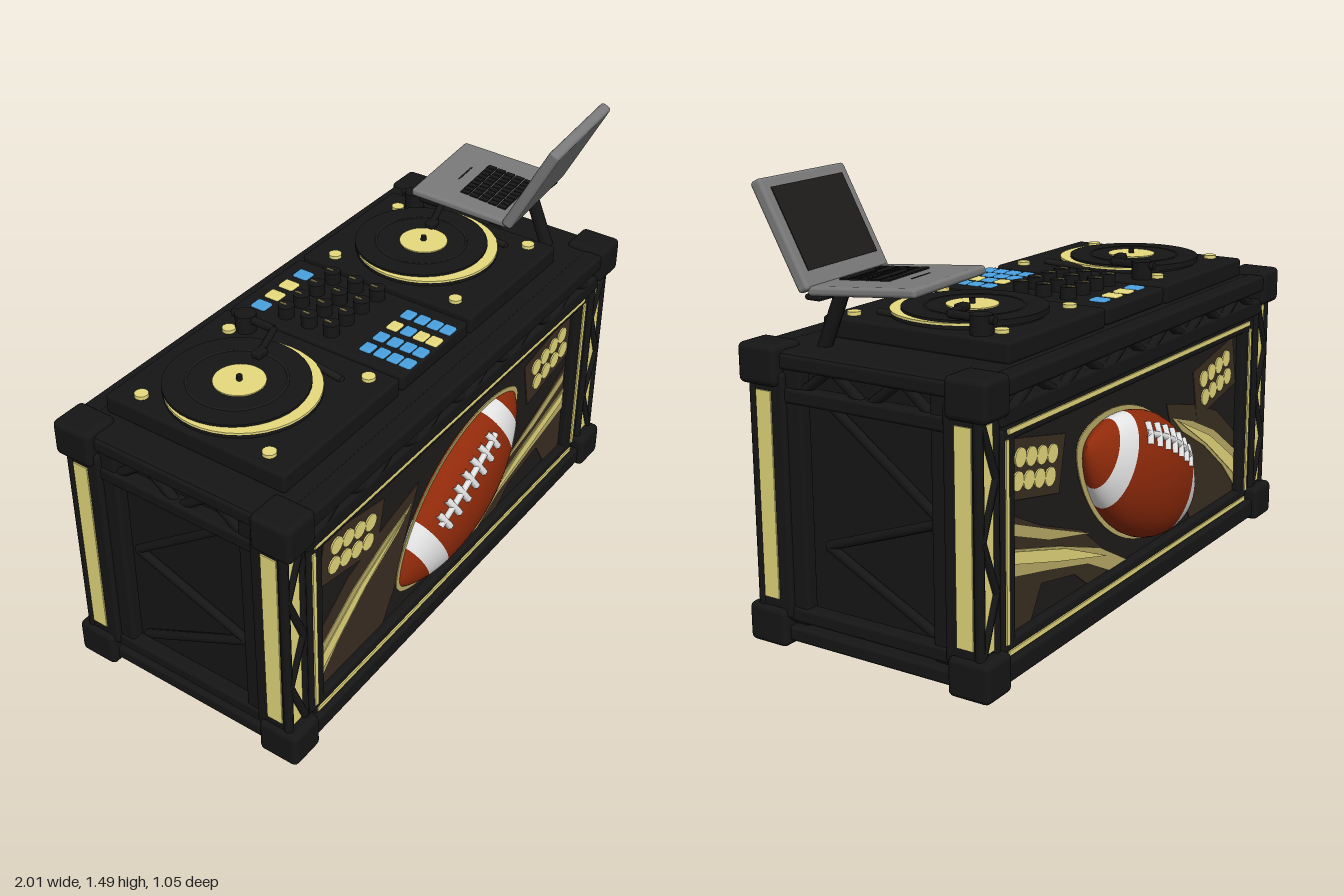
import * as THREE from 'three';
import { RoundedBoxGeometry } from 'three/addons/geometries/RoundedBoxGeometry.js';

const mat = (name, color) => Object.assign(new THREE.MeshStandardMaterial({ color }), { name });
const V = (x, y, z) => new THREE.Vector3(x, y, z);

export function createModel() {
  const black = mat('black', 0x161616);
  const yellow = mat('pale yellow', 0xebdf80);
  const brown = mat('dark brown', 0x3a2e22);
  const khaki = mat('khaki', 0xbcae68);
  const leather = mat('leather', 0x902a0a);
  const white = mat('white', 0xe6e6e6);
  const grey = mat('grey', 0x7a7a7a);
  const blue = mat('blue', 0x4aa0de);
  const dark = mat('charcoal', 0x1e1c1b);

  const root = new THREE.Group();
  const ZC = 0.018; // mid depth of the booth
  const add = (name, geo, m, x = 0, y = 0, z = 0, parent = root) => {
    const mesh = new THREE.Mesh(geo, m);
    mesh.name = name;
    mesh.position.set(x, y, z);
    parent.add(mesh);
    return mesh;
  };
  const box = (name, m, w, h, d, x, y, z, parent) => add(name, new THREE.BoxGeometry(w, h, d), m, x, y, z, parent);
  const soft = (name, m, w, h, d, x, y, z, parent, r = 0.012) =>
    add(name, new RoundedBoxGeometry(w, h, d, 2, r), m, x, y, z, parent);
  const disc = (name, m, r, h, x, y, z, parent, seg = 40) =>
    add(name, new THREE.CylinderGeometry(r, r, h, seg), m, x, y, z, parent);
  const strut = (name, a, b, r, m = black, parent = root) => {
    const mesh = add(name, new THREE.CylinderGeometry(r, r, a.distanceTo(b), 8), m, 0, 0, 0, parent);
    mesh.position.copy(a).add(b).multiplyScalar(0.5);
    mesh.quaternion.setFromUnitVectors(V(0, 1, 0), b.clone().sub(a).normalize());
    return mesh;
  };
  const plate = (name, pts, m, z, parent = root) => {
    const shape = new THREE.Shape(pts.map(([x, y]) => new THREE.Vector2(x, y)));
    const geo = new THREE.ExtrudeGeometry(shape, { depth: 0.004, bevelEnabled: false });
    return add(name, geo.translate(0, 0, -0.002), m, 0, 0, z, parent);
  };

  // Booth core and top deck
  box('boothCore', black, 1.77, 0.9, 0.77, 0, 0.49, ZC);
  soft('topDeck', black, 1.93, 0.05, 0.88, 0, 0.942, ZC);

  // Corner posts, corner blocks and their light strips
  for (const sx of [-1, 1]) for (const s of [-1, 1]) {
    const z = ZC + s * 0.385;
    for (const y of [0.067, 0.92]) soft('cornerBlock', black, 0.135, 0.13, 0.15, sx * 0.9325, y, z, root, 0.02);
    soft('cornerPost', black, 0.115, 0.8, 0.12, sx * 0.925, 0.5, ZC + s * 0.355);
    soft('innerPost', black, 0.05, 0.84, 0.07, sx * 0.94, 0.5, ZC + s * 0.275);
    box('sideLight', yellow, 0.008, 0.68, 0.058, sx * 0.983, 0.5, ZC + s * 0.37);
    box('postLight', yellow, 0.056, 0.7, 0.008, sx * 0.932, 0.49, ZC + s * 0.416);
    for (const e of [-1, 1])
      strut('postEdge', V(sx * 0.932 + e * 0.04, 0.12, ZC + s * 0.415), V(sx * 0.932 + e * 0.04, 0.86, ZC + s * 0.415), 0.016);
    for (let i = 0; i < 4; i++) {
      const e = i % 2 ? 1 : -1, y = 0.14 + i * 0.178;
      strut('postBrace', V(sx * 0.932 - e * 0.035, y, ZC + s * 0.42), V(sx * 0.932 + e * 0.035, y + 0.178, ZC + s * 0.42), 0.014);
    }
  }

  // Side walls: rails, zigzag bracing and a small truss on top
  for (const sx of [-1, 1]) {
    const x = sx * 0.945;
    for (const y of [0.045, 0.115, 0.83, 0.935]) soft('sideRail', black, 0.055, 0.05, 0.72, x, y, ZC);
    const zig = [[0.22, 0.82], [-0.22, 0.5], [0.22, 0.34], [-0.22, 0.12]];
    for (let i = 0; i < 3; i++)
      strut('sideBrace', V(sx * 0.9, zig[i][1], zig[i][0]), V(sx * 0.9, zig[i + 1][1], zig[i + 1][0]), 0.016);
    for (let i = 0; i < 4; i++) {
      const z = 0.28 - i * 0.13, up = i % 2;
      strut('sideTrussBrace', V(x, up ? 0.93 : 0.83, z), V(x, up ? 0.83 : 0.93, z - 0.13), 0.017);
    }
  }

  // Ball outline, radius along its axis
  const L = 0.41;
  const radius = t => 0.21 * Math.pow(Math.max(0, 1 - (t / L) ** 2), 0.7);
  const buildBall = s => {
    const ball = new THREE.Group();
    ball.name = 'ball';
    ball.position.set(0.025, 0.44, s * 0.41);
    ball.rotation.z = 0.49;
    const cuts = [-L, -0.31, -0.225, 0.225, 0.31, L];
    for (let i = 0; i < 5; i++) {
      const pts = [];
      for (let k = 0; k <= 12; k++) {
        const t = cuts[i] + (cuts[i + 1] - cuts[i]) * k / 12;
        pts.push(new THREE.Vector2(radius(t), t));
      }
      const geo = new THREE.LatheGeometry(pts, 40).rotateZ(-Math.PI / 2).scale(1, 1, 0.54);
      add(i % 2 ? 'ballStripe' : 'ballSkin', geo, i % 2 ? white : leather, 0, 0, 0, ball);
    }
    // Laces follow the ball surface
    const on = (t, a) => V(t, radius(t) * Math.cos(a), s * 0.54 * radius(t) * Math.sin(a));
    const tube = (name, pts, r) =>
      add(name, new THREE.TubeGeometry(new THREE.CatmullRomCurve3(pts), 14, r, 6), white, 0, 0, 0, ball);
    tube('laceSeam', [-0.19, -0.09, 0, 0.09, 0.19].map(t => on(t, 0.9)), 0.013);
    for (let i = 0; i < 7; i++) {
      const t = -0.165 + i * 0.055;
      tube('laceStitch', [0.64, 0.9, 1.14].map(a => on(t, a)), 0.014);
    }
    root.add(ball);
  };

  // Front and back faces
  for (const s of [-1, 1]) {
    const z = d => ZC + s * d;
    soft('longRail', black, 1.78, 0.07, 0.07, 0, 0.05, z(0.405));
    soft('longRail', black, 1.78, 0.06, 0.07, 0, 0.94, z(0.418));
    soft('longRail', black, 1.78, 0.06, 0.07, 0, 0.85, z(0.41));
    soft('panelTopBar', black, 1.68, 0.06, 0.04, 0, 0.79, z(0.4));
    soft('panelBottomBar', black, 1.68, 0.06, 0.04, 0, 0.11, z(0.4));
    box('topLight', yellow, 1.66, 0.016, 0.008, 0, 0.793, z(0.421));
    box('bottomLight', yellow, 1.66, 0.016, 0.008, 0, 0.1, z(0.421));
    for (const sx of [-1, 1]) {
      soft('panelSideBar', black, 0.07, 0.7, 0.04, sx * 0.82, 0.45, z(0.4));
      box('panelSideLight', yellow, 0.016, 0.64, 0.008, sx * 0.835, 0.45, z(0.421));
    }
    for (let i = 0; i < 12; i++) {
      const x = -0.84 + i * 0.14, up = i % 2;
      strut('longTrussBrace', V(x, up ? 0.93 : 0.85, z(0.428)), V(x + 0.14, up ? 0.85 : 0.93, z(0.428)), 0.017);
    }
    // Painted panel
    box('panel', dark, 1.58, 0.64, 0.008, 0, 0.45, z(0.386));
    plate('leftShade', [[-0.78, 0.14], [-0.78, 0.38], [-0.62, 0.5], [-0.42, 0.57], [-0.22, 0.62], [-0.3, 0.42], [-0.35, 0.26], [-0.42, 0.14]], brown, z(0.391));
    plate('rightShade', [[0.1, 0.14], [0.36, 0.34], [0.6, 0.43], [0.78, 0.52], [0.78, 0.14], [0.66, 0.14], [0.6, 0.24], [0.4, 0.2], [0.32, 0.14]], brown, z(0.391));
    plate('leftStreak', [[-0.78, 0.17], [-0.78, 0.31], [-0.6, 0.43], [-0.42, 0.51], [-0.26, 0.56], [-0.34, 0.49], [-0.52, 0.39], [-0.68, 0.27]], khaki, z(0.394));
    plate('leftHighlight', [[-0.78, 0.21], [-0.77, 0.28], [-0.56, 0.42], [-0.3, 0.54], [-0.54, 0.39], [-0.7, 0.27]], yellow, z(0.397));
    plate('rightStreak', [[0.06, 0.14], [0.24, 0.24], [0.5, 0.33], [0.78, 0.41], [0.78, 0.32], [0.56, 0.27], [0.32, 0.21], [0.18, 0.14]], khaki, z(0.394));
    plate('rightUpperStreak', [[0.3, 0.31], [0.54, 0.4], [0.77, 0.49], [0.77, 0.45], [0.56, 0.37]], khaki, z(0.394));
    plate('rightHighlight', [[0.2, 0.2], [0.46, 0.31], [0.77, 0.4], [0.77, 0.36], [0.5, 0.28]], yellow, z(0.397));
    // Spotlight clusters
    for (const sx of [-1, 1]) {
      const cluster = new THREE.Group();
      cluster.name = 'spotlightCluster';
      cluster.position.set(sx * 0.62 + 0.02, 0.63, z(0.392));
      cluster.rotation.z = sx * 0.2;
      soft('clusterShade', brown, 0.33, 0.19, 0.004, 0, 0, 0, cluster, 0.002);
      for (let i = 0; i < 8; i++)
        disc('spotlight', yellow, 0.031, 0.008, -0.093 + (i % 4) * 0.062, i < 4 ? 0.036 : -0.036, s * 0.003, cluster, 16).rotation.x = Math.PI / 2;
      root.add(cluster);
    }
    // Glow line around the ball
    const outline = [];
    for (let i = 0; i < 48; i++) {
      const a = i / 48 * Math.PI * 2, t = L * Math.cos(a);
      outline.push([t * 1.03, (radius(t) + 0.01) * Math.sign(Math.sin(a))]);
    }
    const glow = plate('ballGlow', outline, khaki, z(0.4));
    glow.position.x = 0.025;
    glow.position.y = 0.44;
    glow.rotation.z = 0.49;
    buildBall(s);
  }

  // Turntables
  const turntable = (cx, w, px, armX) => {
    soft('turntableBase', black, w, 0.07, 0.7, cx, 0.998, 0);
    disc('platter', black, 0.25, 0.014, px, 1.038, -0.015);
    disc('platterRim', yellow, 0.25, 0.007, px, 1.0485, -0.015);
    disc('record', black, 0.235, 0.02, px, 1.05, -0.04);
    add('recordGroove', new THREE.TorusGeometry(0.16, 0.005, 6, 40).rotateX(Math.PI / 2), dark, px, 1.058, -0.04);
    disc('recordLabel', yellow, 0.085, 0.006, px, 1.061, -0.03);
    disc('spindle', black, 0.01, 0.03, px, 1.066, -0.03, root, 10);
    disc('armPivot', black, 0.036, 0.07, armX, 1.06, -0.22, root, 16);
    const bend = V(armX - 0.005, 1.08, -0.1), head = V(armX - 0.13, 1.073, -0.06);
    strut('toneArm', V(armX, 1.08, -0.27), bend, 0.014);
    strut('toneArm', bend, head, 0.012);
    soft('armHead', black, 0.05, 0.025, 0.035, head.x, head.y, head.z, root, 0.008);
    strut('pitchSlider', V(armX - 0.03, 1.04, 0), V(armX - 0.06, 1.04, 0.21), 0.012, dark);
    for (const [x, z] of [[cx - w / 2 + 0.06, -0.25], [cx - w / 2 + 0.06, 0.25], [cx + w / 2 - 0.06, 0.27], [cx + w / 2 - 0.1, -0.26]])
      disc('cornerKnob', yellow, 0.023, 0.018, x, 1.036, z, root, 14);
  };
  turntable(-0.55, 0.6, -0.58, -0.31);
  turntable(0.455, 0.57, 0.46, 0.69);

  // Mixer: pads and knobs
  soft('mixerBase', black, 0.39, 0.06, 0.7, -0.04, 0.998, 0);
  const cols = [-0.165, -0.09, -0.012, 0.07];
  cols.forEach((x, i) => {
    soft('topPad', i % 3 ? yellow : blue, 0.052, 0.03, 0.06, x, 1.021, -0.27, root, 0.008);
    [0.168, 0.222, 0.273, 0.322].forEach((z, j) =>
      soft('pad', i === 2 && j !== 1 ? yellow : blue, 0.052, 0.03, 0.045, x, 1.021, z, root, 0.008));
    for (const z of [-0.165, -0.07, 0.02]) {
      disc('knob', black, 0.028, 0.06, x * 1.12 + 0.02, 1.04, z, root, 16);
      box('knobMark', khaki, 0.006, 0.006, 0.025, x * 1.12 + 0.02, 1.07, z - 0.012);
    }
  });

  // Laptop and its stand
  strut('standPost', V(0.84, 0.95, 0.265), V(0.84, 1.15, 0.18), 0.024);
  soft('standBar', black, 0.4, 0.02, 0.06, 0.775, 1.148, 0.19);
  const laptop = new THREE.Group();
  laptop.name = 'laptop';
  laptop.position.set(0.77, 1.165, 0.225);
  laptop.rotation.y = 0.085;
  const deck = new THREE.Group(), lid = new THREE.Group();
  deck.name = 'laptopBase';
  lid.name = 'laptopLid';
  deck.rotation.x = 0.075;
  lid.rotation.x = 0.475;
  soft('baseShell', grey, 0.42, 0.03, 0.375, 0, 0, -0.19, deck);
  for (let r = 0; r < 5; r++) for (let c = 0; c < 9; c++)
    box('key', black, 0.022, 0.008, 0.032, -0.13 + c * 0.026 + r * 0.003, 0.016, -0.055 - r * 0.038, deck);
  box('trackpad', dark, 0.1, 0.004, 0.006, 0, 0.0145, -0.27, deck);
  soft('lidShell', grey, 0.445, 0.36, 0.04, 0, 0.18, 0, lid);
  box('screen', dark, 0.37, 0.27, 0.006, 0, 0.19, -0.02, lid);
  strut('hinge', V(-0.16, 0, 0), V(0.16, 0, 0), 0.018, black, laptop);
  laptop.add(deck, lid);
  root.add(laptop);

  return root;
}
